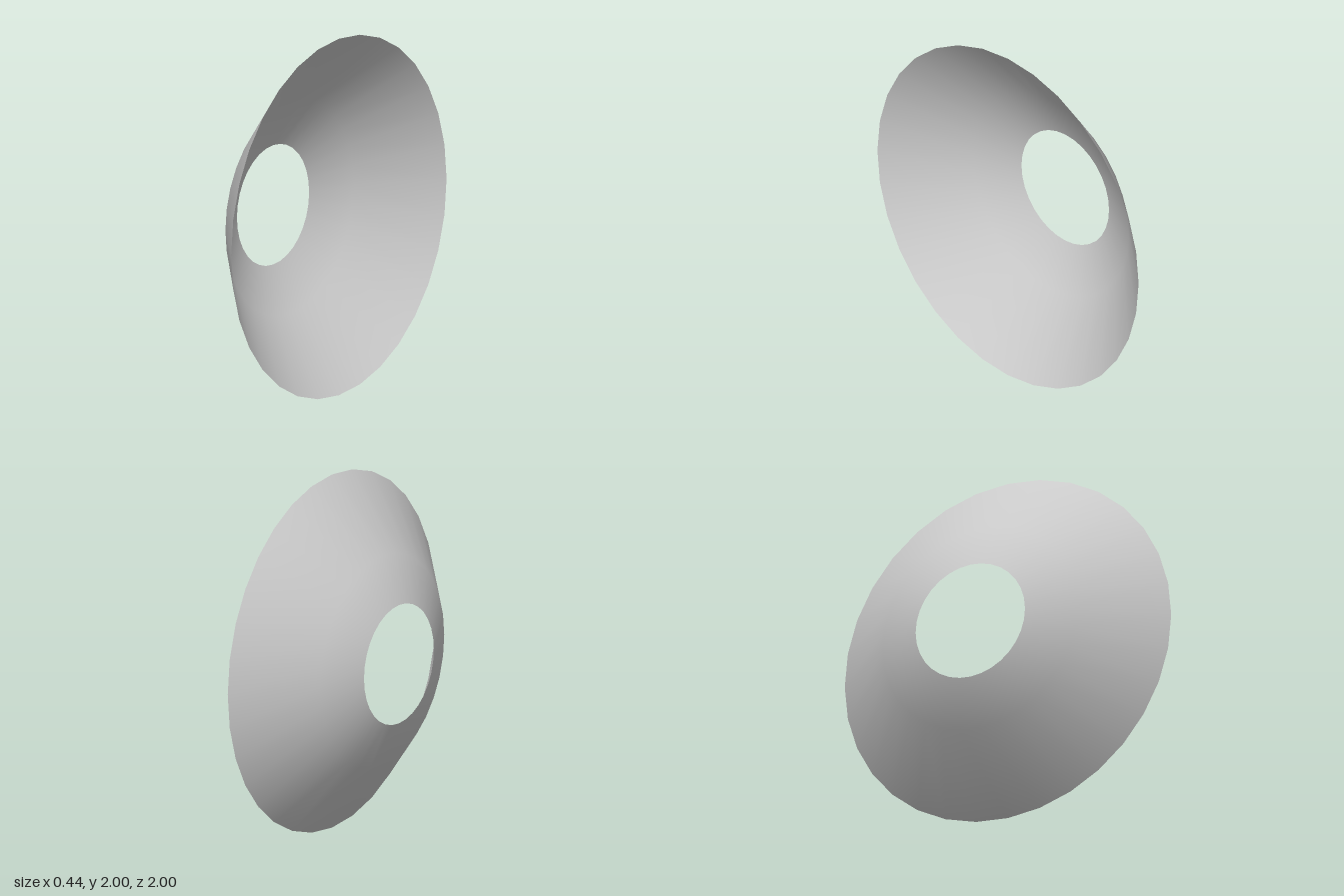
import * as THREE from 'three';

export function createModel() {
  const group = new THREE.Group();
  group.name = 'dish';

  // Open flared shell: radius against position along the axis
  const profile = [
    [0.335, -0.22],
    [0.595, -0.11],
    [1, 0.22],
  ].map(([r, h]) => new THREE.Vector2(r, h));

  const geometry = new THREE.LatheGeometry(profile, 32);
  geometry.rotateZ(-Math.PI / 2); // wide mouth faces +x
  geometry.translate(0, 1, 0);

  const shell = new THREE.Mesh(
    geometry,
    new THREE.MeshStandardMaterial({ color: 0xcccccc, side: THREE.DoubleSide })
  );
  shell.name = 'flaredShell';
  group.add(shell);
  return group;
}
